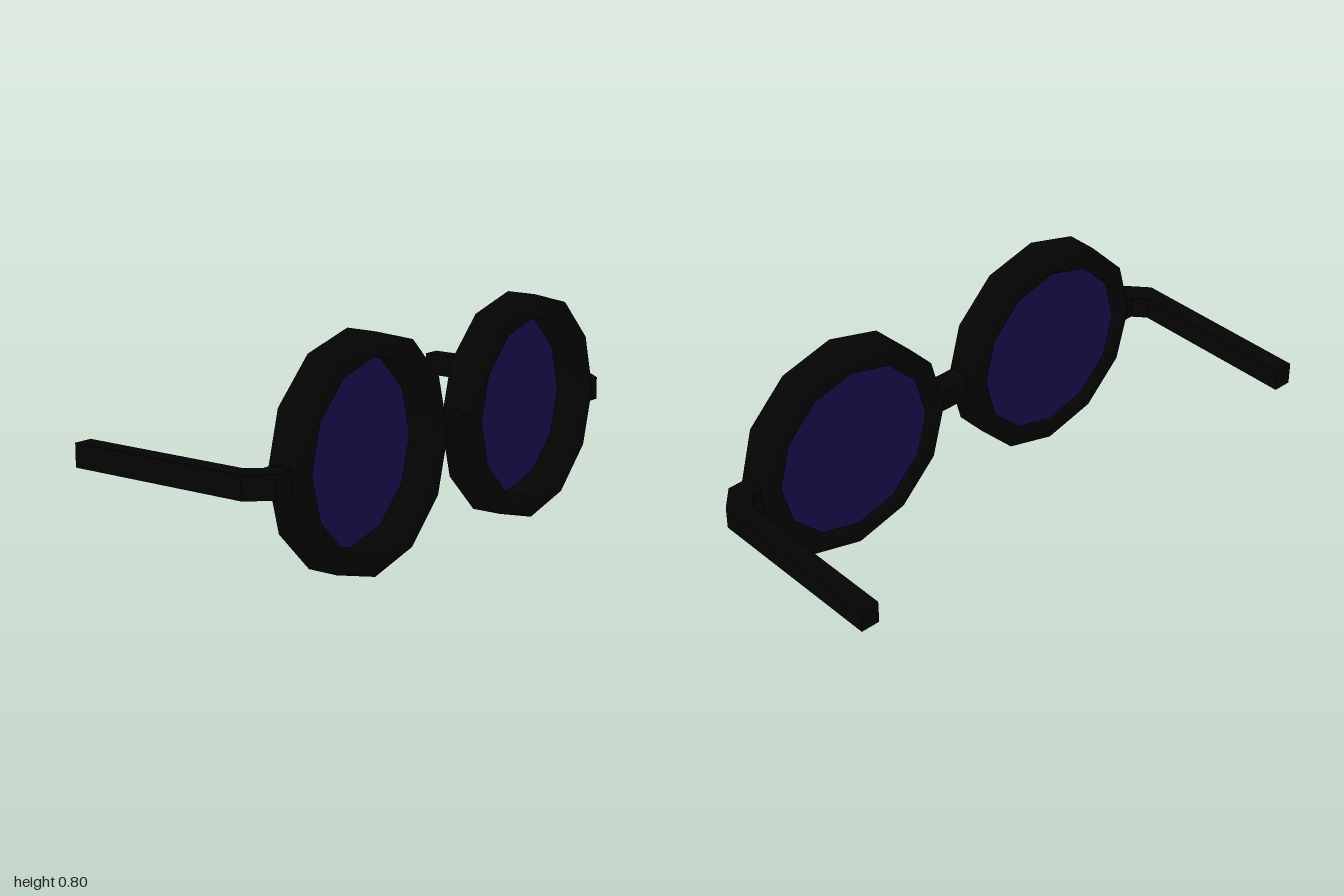
import * as THREE from 'three';
import { mergeVertices } from 'three/addons/utils/BufferGeometryUtils.js';

const black = new THREE.MeshStandardMaterial({ color: 0x040404, flatShading: true });
const smoothBlack = new THREE.MeshStandardMaterial({ color: 0x040404 });
const tint = new THREE.MeshStandardMaterial({ color: 0x191356, flatShading: true });

const SIDES = 12, RIM_X = 0.462, RIM_Y = 0.403;

// Regular polygon with a corner at the top, counter-clockwise
function ring(radius) {
  return Array.from({ length: SIDES }, (_, i) => {
    const a = (i / SIDES) * Math.PI * 2;
    return new THREE.Vector2(-Math.sin(a) * radius, Math.cos(a) * radius);
  });
}

function extrude(shape, depth) {
  return new THREE.ExtrudeGeometry(shape, { depth, bevelEnabled: false });
}

// Shares corners between faces so the shading runs softly over the edges
function soften(geometry) {
  geometry.deleteAttribute('uv');
  geometry.deleteAttribute('normal');
  const merged = mergeVertices(geometry);
  merged.computeVertexNormals();
  return merged;
}

function add(parent, name, geometry, material) {
  const mesh = new THREE.Mesh(geometry, material);
  mesh.name = name;
  parent.add(mesh);
  return mesh;
}

export function createModel() {
  const group = new THREE.Group();
  group.name = 'roundGlasses';

  // Twelve-sided rim with an open centre
  const rimShape = new THREE.Shape(ring(0.402));
  rimShape.holes.push(new THREE.Path(ring(0.322)));
  const rimGeometry = soften(extrude(rimShape, 0.112));

  // Thin lens set at the back of the rim, its edge sunk into the frame
  const lensGeometry = extrude(new THREE.Shape(ring(0.326)), 0.006);

  for (const [side, s] of [['left', 1], ['right', -1]]) {
    add(group, side + 'Rim', rimGeometry, smoothBlack).position.set(s * RIM_X, RIM_Y, 0.288);
    add(group, side + 'Lens', lensGeometry, tint).position.set(s * RIM_X, RIM_Y, 0.294);

    // Temple arm: plan outline in x and z, with an angled hinge corner
    const plan = [
      [1, -0.4], [1, 0.3], [0.93, 0.38], [0.83, 0.38],
      [0.83, 0.295], [0.89, 0.295], [0.93, 0.25], [0.93, -0.4],
    ].map(([x, z]) => new THREE.Vector2(s * x, z));
    const arm = extrude(new THREE.Shape(plan), 0.082);
    arm.rotateX(Math.PI / 2); // plan z stays z, thickness runs downwards
    add(group, side + 'Temple', arm, black).position.y = 0.432;
  }

  // Bridge between the rims
  add(group, 'bridge', new THREE.BoxGeometry(0.17, 0.084, 0.086), black).position.set(0, 0.403, 0.347);

  return group;
}
